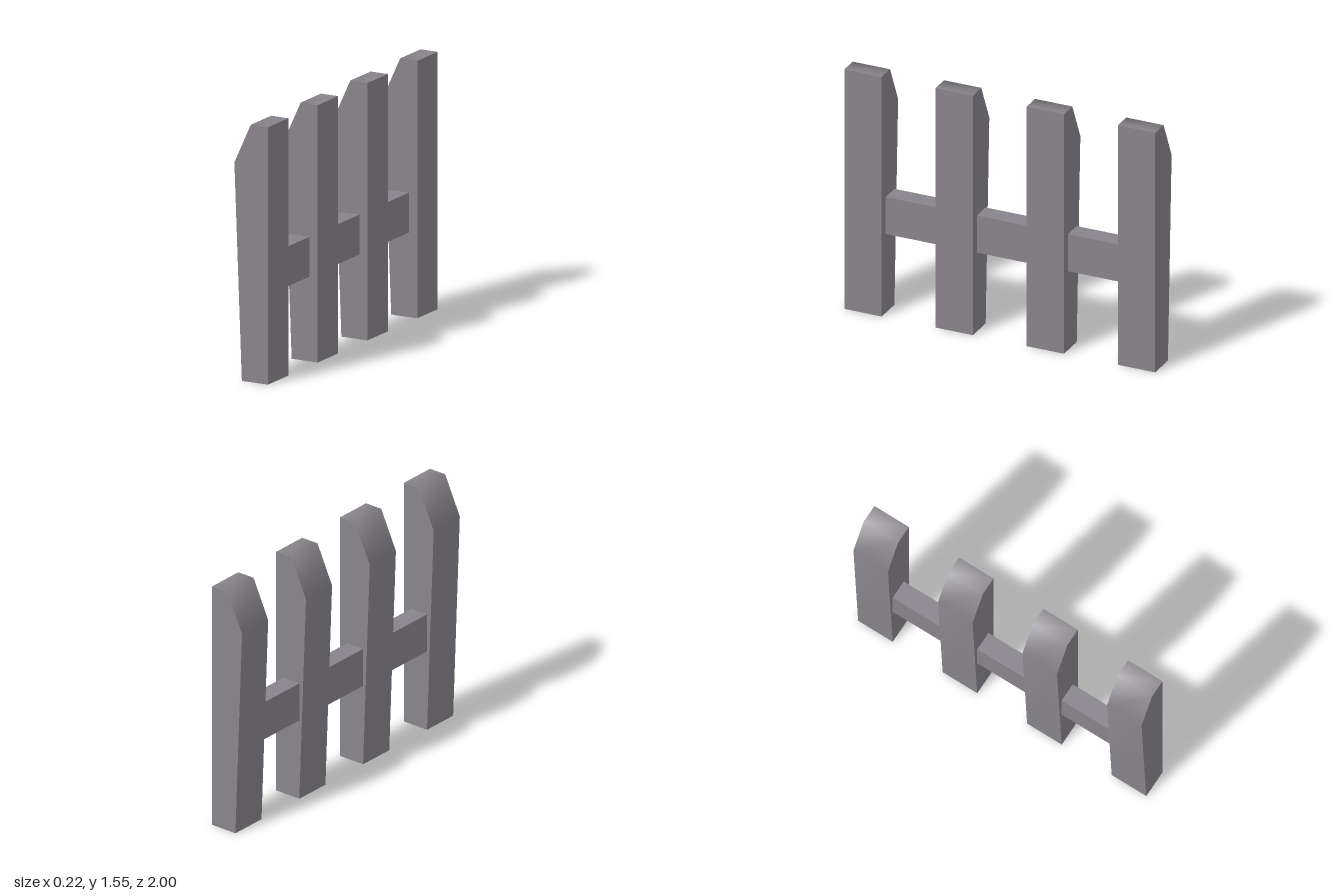
import * as THREE from 'three';

const POST_DEPTH = 0.24;

// Surface swept along z from an open, counter-clockwise run of [x, y] points; bends shade smoothly.
function strip(points, depth) {
  const positions = [];
  const index = [];
  points.forEach(([x, y], i) => {
    positions.push(x, y, depth / 2, x, y, -depth / 2);
    if (i > 0) {
      const a = (i - 1) * 2;
      index.push(a, a + 1, a + 3, a, a + 3, a + 2);
    }
  });
  const geometry = new THREE.BufferGeometry();
  geometry.setAttribute('position', new THREE.Float32BufferAttribute(positions, 3));
  geometry.setIndex(index);
  geometry.computeVertexNormals();
  return geometry;
}

export function createModel() {
  const model = new THREE.Group();
  model.name = 'fence';
  const wood = new THREE.MeshStandardMaterial({ color: 0x88848b, side: THREE.DoubleSide });
  wood.name = 'grey wood';

  const add = (parent, geometry, name) => {
    const mesh = new THREE.Mesh(geometry, wood);
    mesh.name = name;
    parent.add(mesh);
    return mesh;
  };

  // Picket profile: upright face, flat top, slanted shoulder, leaning face; open underneath
  const outline = [[0.11, 0], [0.11, 1.55], [-0.005, 1.55], [-0.115, 1.31], [-0.065, 0]];
  const uprightFace = strip(outline.slice(0, 2), POST_DEPTH);
  const shoulder = strip(outline.slice(1), POST_DEPTH);
  const cheek = new THREE.ShapeGeometry(new THREE.Shape(outline.map(([x, y]) => new THREE.Vector2(x, y))));

  const centres = [0.88, 0.293, -0.293, -0.88];
  centres.forEach((z, i) => {
    const picket = new THREE.Group();
    picket.name = `picket${i + 1}`;
    picket.position.z = z;
    add(picket, uprightFace, 'uprightFace');
    add(picket, shoulder, 'shoulderAndLeaningFace');
    add(picket, cheek, 'frontCheek').position.z = POST_DEPTH / 2;
    const back = add(picket, cheek.clone().scale(1, 1, -1), 'backCheek');
    // Reverse the corners so the mirrored cheek faces backwards
    back.geometry.index.array.reverse();
    back.geometry.computeVertexNormals();
    back.position.z = -POST_DEPTH / 2;
    model.add(picket);
  });

  // Rail sections between neighbouring pickets, open where they meet the wood
  const railOutline = [[0.055, 0.51], [0.055, 0.75], [-0.065, 0.75], [-0.065, 0.51], [0.055, 0.51]];
  for (let i = 0; i < 3; i++) {
    const rail = new THREE.Group();
    rail.name = `rail${i + 1}`;
    rail.position.z = (centres[i] + centres[i + 1]) / 2;
    const length = centres[i] - centres[i + 1] - POST_DEPTH;
    ['outerFace', 'top', 'innerFace', 'underside'].forEach((name, k) => {
      add(rail, strip(railOutline.slice(k, k + 2), length), name);
    });
    model.add(rail);
  }
  return model;
}
